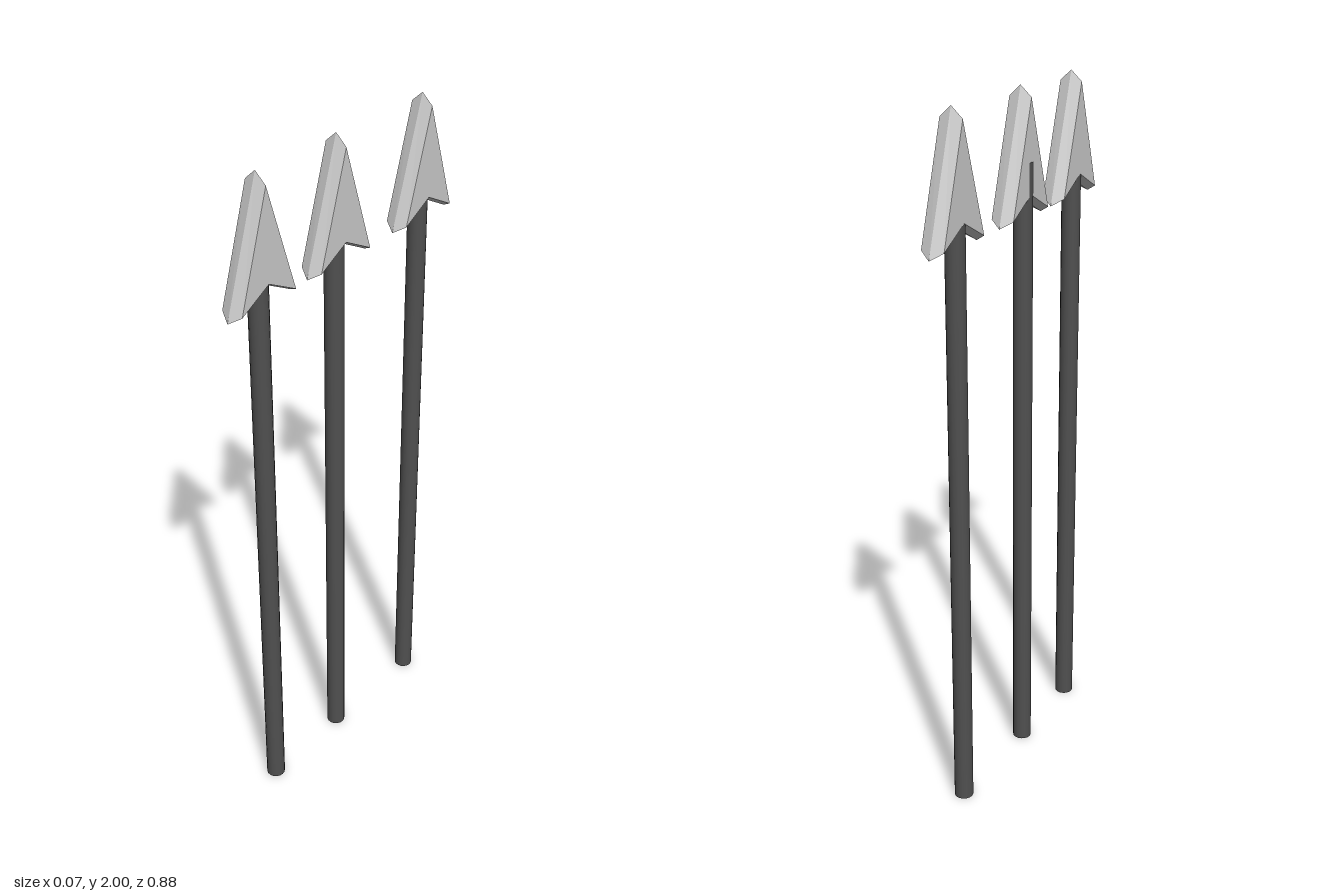
import * as THREE from 'three';

// Barbed head: outer outline at x = 0, smaller outlines at x = ±halfWidth. Points are [z, y].
function headGeometry() {
  const halfWidth = 0.033;
  const outer = [[0, 2], [0.116, 1.64], [0, 1.703], [-0.116, 1.64]];
  const inner = [[0, 1.97], [0.098, 1.66], [0, 1.713], [-0.098, 1.66]];
  const loop = (points, x) => points.map(([z, y]) => [x, y, z]);
  const loops = [loop(inner, -halfWidth), loop(outer, 0), loop(inner, halfWidth)];
  const positions = [];
  const tri = (a, b, c) => positions.push(...a, ...b, ...c);

  // Bevelled rim
  for (let k = 0; k < 2; k++) {
    const a = loops[k], b = loops[k + 1];
    for (let i = 0; i < 4; i++) {
      const j = (i + 1) % 4;
      tri(a[i], a[j], b[j]);
      tri(a[i], b[j], b[i]);
    }
  }
  // Flat faces
  const [left, right] = [loops[2], loops[0]];
  tri(left[0], left[1], left[2]);
  tri(left[0], left[2], left[3]);
  tri(right[0], right[2], right[1]);
  tri(right[0], right[3], right[2]);

  const geometry = new THREE.BufferGeometry();
  geometry.setAttribute('position', new THREE.Float32BufferAttribute(positions, 3));
  geometry.computeVertexNormals();
  return geometry;
}

export function createModel() {
  const model = new THREE.Group();
  model.name = 'arrows';
  const headMaterial = new THREE.MeshStandardMaterial({ color: 0xcccccc });
  const shaftMaterial = new THREE.MeshStandardMaterial({ color: 0x505050 });
  const head = headGeometry();
  const shaftHeight = 1.8;
  const shaft = new THREE.CylinderGeometry(0.0275, 0.0275, shaftHeight, 16);
  shaft.translate(0, shaftHeight / 2, 0);

  // Three arrows in a row; the shafts sit slightly off the heads' centre
  const arrows = [
    { name: 'backArrow', z: -0.323, shaftX: -0.005 },
    { name: 'middleArrow', z: 0.027, shaftX: -0.008 },
    { name: 'frontArrow', z: 0.32, shaftX: -0.005 },
  ];
  for (const { name, z, shaftX } of arrows) {
    const arrow = new THREE.Group();
    arrow.name = name;
    arrow.position.z = z;
    const headMesh = new THREE.Mesh(head, headMaterial);
    headMesh.name = 'arrowhead';
    const shaftMesh = new THREE.Mesh(shaft, shaftMaterial);
    shaftMesh.name = 'shaft';
    shaftMesh.position.x = shaftX;
    arrow.add(headMesh, shaftMesh);
    model.add(arrow);
  }
  return model;
}
